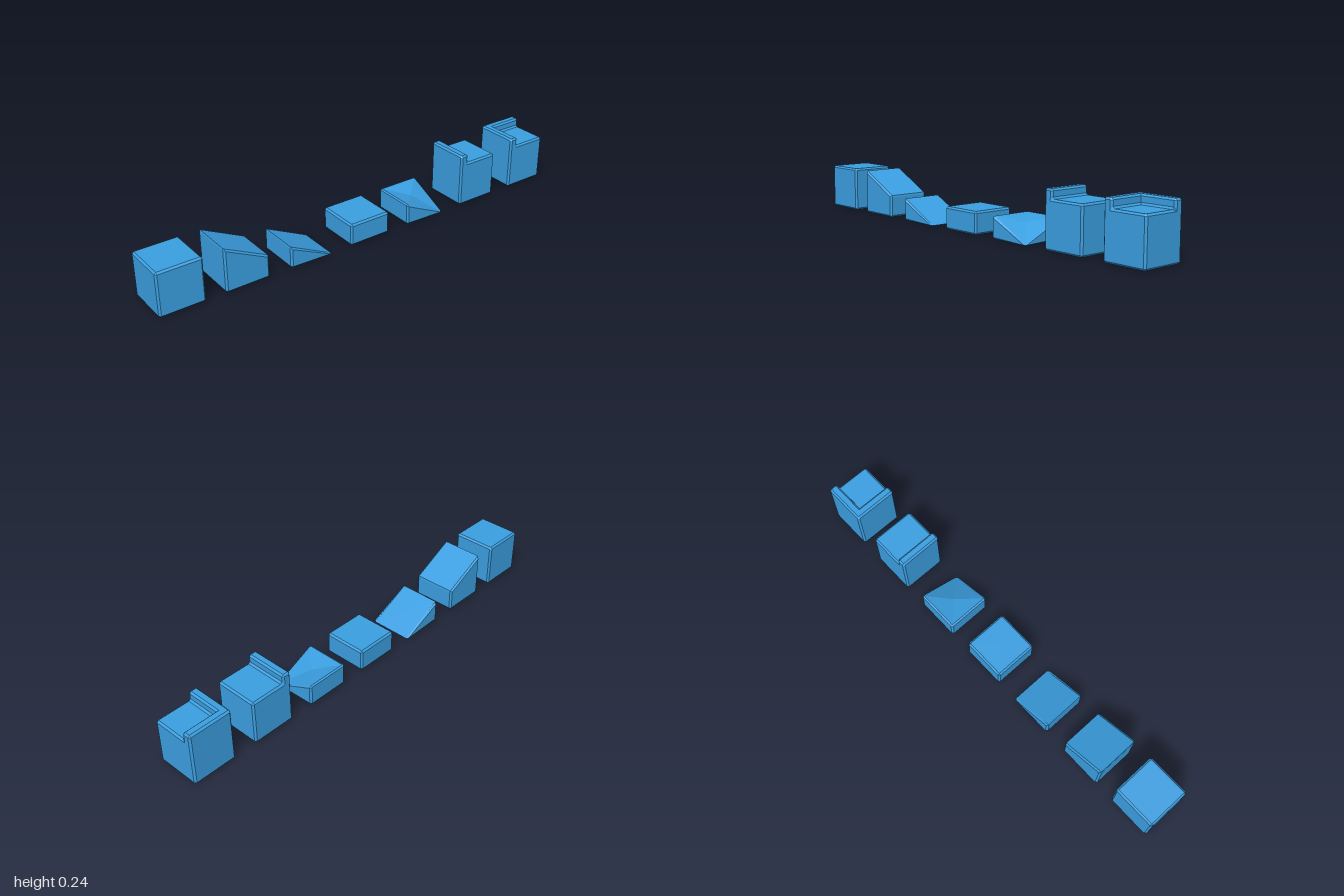
import * as THREE from 'three';

const R = 0.1;      // half width of every block
const B = 0.008;    // chamfer size
const material = new THREE.MeshStandardMaterial({ color: 0x3a9ee0, flatShading: true });

// Joins rings of points into a closed, faceted solid with fan caps.
function loft(rings) {
  const pos = [];
  const tri = (...pts) => pts.forEach((p) => pos.push(p.x, p.y, p.z));
  const n = rings[0].length;
  const middle = (ring) => ring.reduce((s, p) => s.add(p), new THREE.Vector3()).divideScalar(n);
  const first = rings[0], last = rings[rings.length - 1];
  const c0 = middle(first), c1 = middle(last);
  for (let i = 0; i < n; i++) {
    const j = (i + 1) % n;
    for (let k = 0; k + 1 < rings.length; k++) {
      const a = rings[k], b = rings[k + 1];
      tri(a[i], a[j], b[j]);
      tri(a[i], b[j], b[i]);
    }
    tri(c0, first[j], first[i]);
    tri(c1, last[i], last[j]);
  }
  const geometry = new THREE.BufferGeometry();
  geometry.setAttribute('position', new THREE.Float32BufferAttribute(pos, 3));
  geometry.computeVertexNormals();
  return geometry;
}

// Chamfered square block whose top follows height(x, z).
function block(height, topInsetX = B) {
  const s = R - B;
  const corners = [[1, 1], [1, -1], [-1, -1], [-1, 1]];
  const square = (sx, y) => corners.flatMap(([cx, cz]) => {
    const x = cx * sx, z = cz * s;
    return [0, 1].map(() => new THREE.Vector3(x, y(x, z), z));
  });
  const octagon = (y) => corners.flatMap(([cx, cz]) => {
    const pair = [[cx * s, cz * R], [cx * R, cz * s]];
    if (cx * cz < 0) pair.reverse();
    return pair.map(([x, z]) => new THREE.Vector3(x, y(x, z), z));
  });
  return loft([
    square(s, () => 0),
    octagon((x, z) => Math.min(B, height(x, z) / 2)),
    octagon((x, z) => Math.max(height(x, z) - B, height(x, z) / 2)),
    square(R - topInsetX, height),
  ]);
}

// Raised rim section: distance from the outer face, height.
const FLOOR = 0.203, TOP = 0.243;
const section = [
  [0, FLOOR - B], [0, TOP - B], [B, TOP], [0.04 - B, TOP],
  [0.04, TOP - B], [0.04, FLOOR + B], [0.04 + B, FLOOR], [0.04 + B, FLOOR - B],
];
const endSection = section.map(([d, y]) => [
  THREE.MathUtils.clamp(d, B, 0.04 - B), y > 0.22 ? TOP - B : FLOOR - B,
]);

// Rim along the x- side, optionally turning the corner along the back.
function rim(turnsCorner) {
  const along = (z) => (d) => [d - R, z];
  const across = (x) => (d) => [x, d - R];
  const station = (points, place) => points.map(([d, y]) => {
    const [x, z] = place(d);
    return new THREE.Vector3(x, y, z);
  });
  const rings = [station(endSection, along(R)), station(section, along(R - B))];
  if (turnsCorner) {
    rings.push(
      station(section, (d) => [d - R, Math.max(d, B) - R]),
      station(section, (d) => [Math.max(d, B) - R, d - R]),
      station(section, across(R - B)),
      station(endSection, across(R)),
    );
  } else {
    rings.push(station(section, along(B - R)), station(endSection, along(-R)));
  }
  return loft(rings);
}

export function createModel() {
  const model = new THREE.Group();
  model.name = 'terrainBlocks';
  const fall = (t) => (R - t) / (2 * R);   // 1 at the negative side, 0 at the positive

  const pieces = [
    ['fullBlock', -0.9, block(() => 0.2)],
    ['upperSlope', -0.612, block((x) => 0.1 + 0.1 * fall(x), 0.002)],
    ['lowerSlope', -0.31, block((x) => 0.1 * fall(x), 0.002)],
    ['halfBlock', -0.01, block(() => 0.1)],
    ['innerCornerSlope', 0.293, block((x, z) => 0.1 * Math.max(fall(x), fall(z)))],
    ['edgeBlock', 0.597, block(() => FLOOR), rim(false)],
    ['cornerBlock', 0.9, block(() => FLOOR), rim(true)],
  ];

  for (const [name, x, body, edge] of pieces) {
    const piece = new THREE.Group();
    piece.name = name;
    piece.position.x = x;
    const bodyMesh = new THREE.Mesh(body, material);
    bodyMesh.name = name + 'Body';
    piece.add(bodyMesh);
    if (edge) {
      const rimMesh = new THREE.Mesh(edge, material);
      rimMesh.name = name + 'Rim';
      piece.add(rimMesh);
    }
    model.add(piece);
  }
  return model;
}
